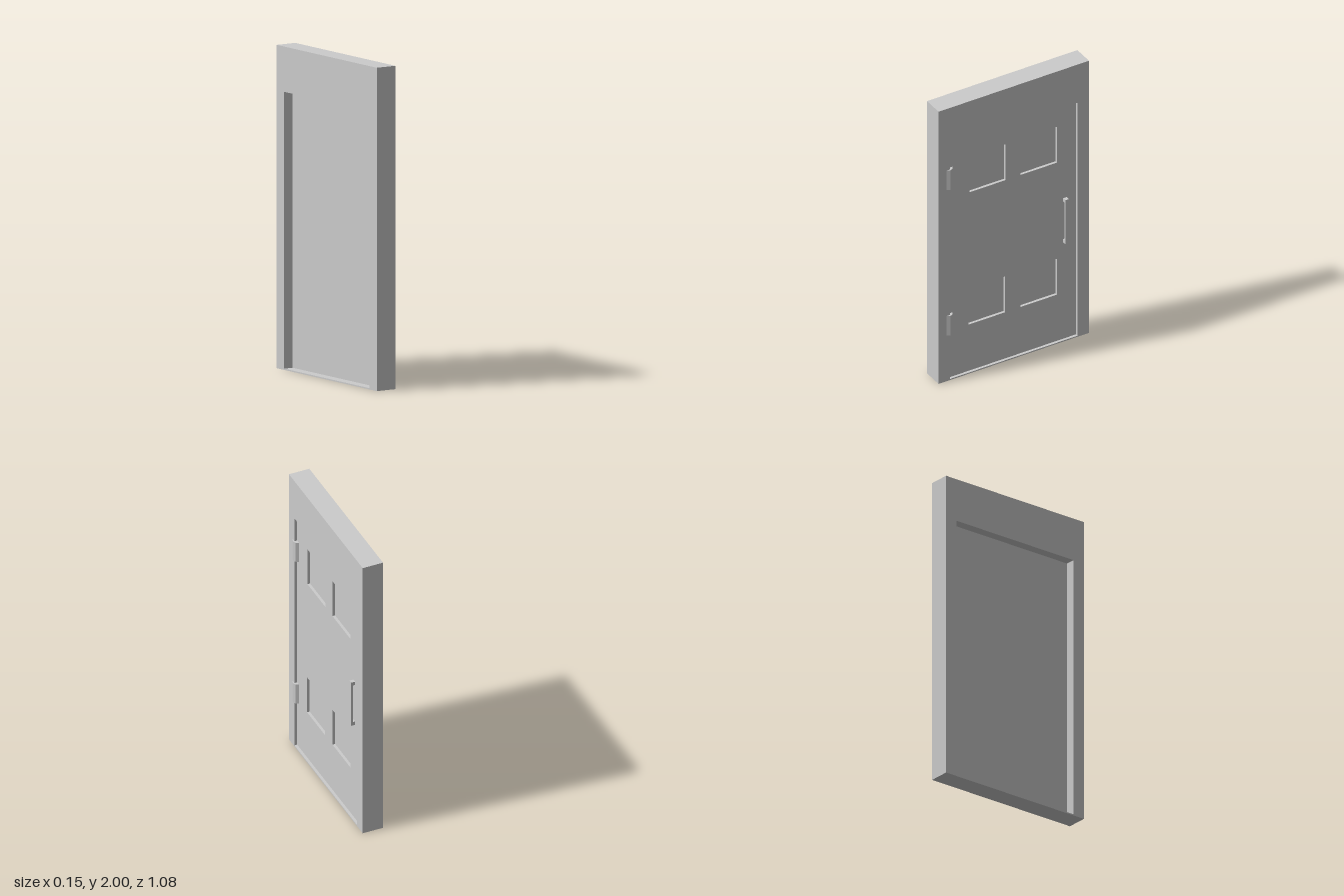
import * as THREE from 'three';

const material = new THREE.MeshStandardMaterial({ color: 0xcccccc, flatShading: true });

// Traces a rectangle on a shape or hole; u runs along -z, v is height.
function rect(path, u0, u1, v0, v1) {
  path.moveTo(u0, v0);
  path.lineTo(u1, v0);
  path.lineTo(u1, v1);
  path.lineTo(u0, v1);
  path.closePath();
  return path;
}

// Rectangular plate with rectangular holes, spanning x0 to x1.
function plate(outer, holes, x0, x1) {
  const shape = rect(new THREE.Shape(), ...outer);
  for (const h of holes) shape.holes.push(rect(new THREE.Path(), ...h));
  const geometry = new THREE.ExtrudeGeometry(shape, { depth: x1 - x0, bevelEnabled: false });
  return geometry.rotateY(Math.PI / 2).translate(x0, 0, 0);
}

function add(parent, name, geometry, x = 0, y = 0, z = 0) {
  const mesh = new THREE.Mesh(geometry, material);
  mesh.name = name;
  mesh.position.set(x, y, z);
  parent.add(mesh);
  return mesh;
}

export function createModel() {
  const model = new THREE.Group();
  model.name = 'door';

  const opening = [-0.457, 0.457, 0.008, 1.72];
  const doorFront = 0.044, panelFace = 0.026, doorBack = -0.012;

  // Thick surround with a thin sill under the opening
  add(model, 'frame', plate([-0.538, 0.538, 0, 2], [opening], -0.075, 0.062));

  // Door leaf: solid back slab and a front layer cut by four sunken panels
  const leaf = new THREE.Group();
  leaf.name = 'doorLeaf';
  model.add(leaf);
  const panels = [
    [-0.307, -0.047, 1.317, 1.58],
    [0.058, 0.32, 1.317, 1.58],
    [-0.313, -0.052, 0.347, 0.61],
    [0.058, 0.32, 0.347, 0.61],
  ];
  add(leaf, 'backSlab', plate(opening, [], doorBack, panelFace));
  add(leaf, 'panelledFront', plate(opening, panels, panelFace, doorFront));

  // Eight-sided hinge barrels
  for (const [name, y] of [['lowerHinge', 0.407], ['upperHinge', 1.477]]) {
    add(model, name, new THREE.CylinderGeometry(0.032, 0.032, 0.143, 8), 0.04, y, 0.46);
  }

  // Pull handle: upright bar on two short posts
  const handle = new THREE.Group();
  handle.name = 'handle';
  handle.position.set(0, 0.878, -0.377);
  model.add(handle);
  add(handle, 'handleBar', new THREE.BoxGeometry(0.013, 0.325, 0.025), 0.0645);
  for (const side of [-1, 1]) {
    add(handle, side < 0 ? 'lowerPost' : 'upperPost',
      new THREE.BoxGeometry(0.018, 0.025, 0.025), 0.05, side * 0.15, 0);
  }

  return model;
}
